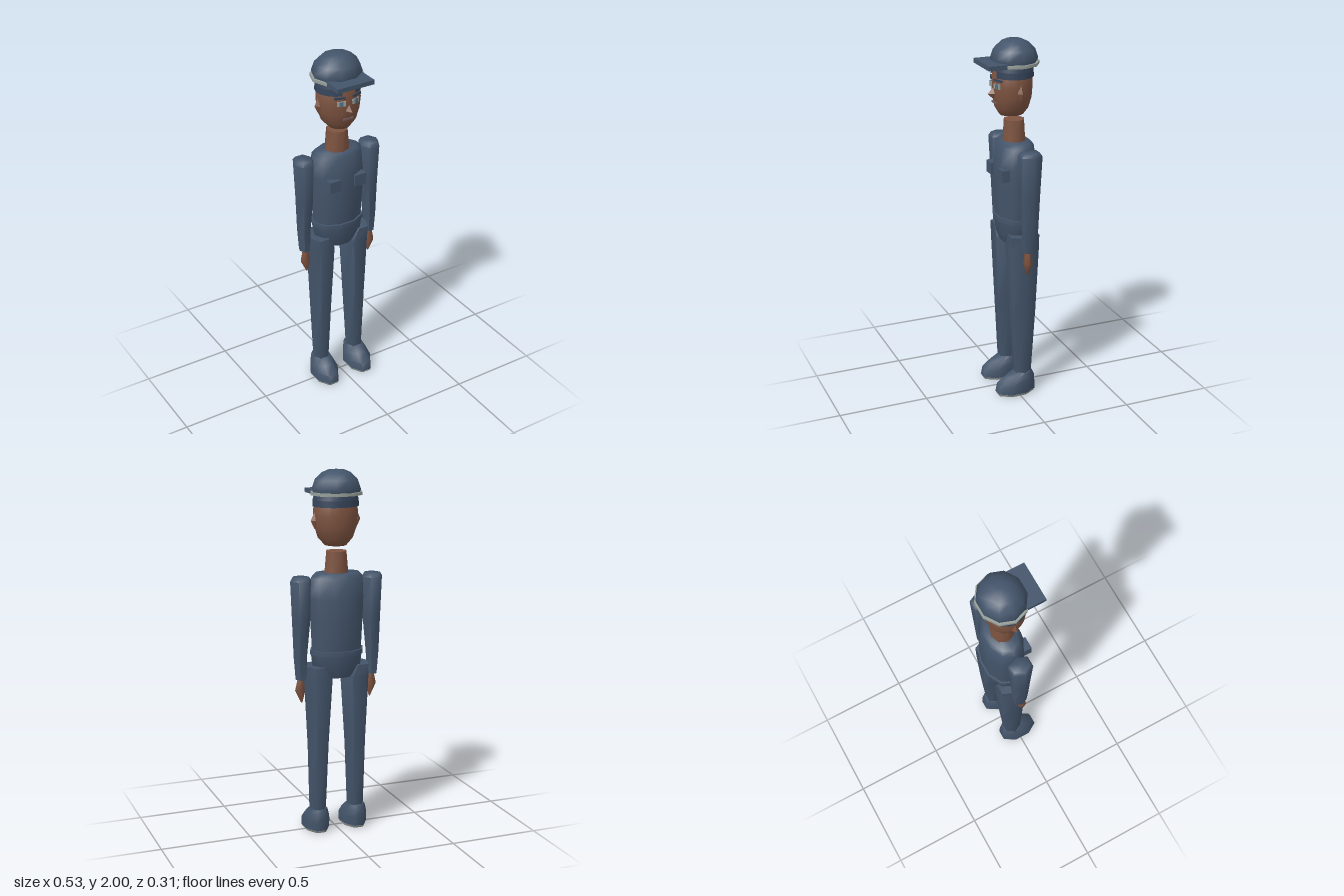
import * as THREE from 'three';
import { toCreasedNormals } from 'three/addons/utils/BufferGeometryUtils.js';

// Capped solid from elliptical rings [y, rx, rz, cx, cz], listed bottom to top
function loft(rings, sides, turn = 0) {
  const pos = [], idx = [];
  for (const [y, rx, rz, cx = 0, cz = -0.035] of rings) {
    for (let i = 0; i < sides; i++) {
      const a = turn + (i / sides) * Math.PI * 2;
      pos.push(cx + rx * Math.cos(a), y, cz + rz * Math.sin(a));
    }
  }
  const last = (rings.length - 1) * sides;
  const c = pos.length / 3;
  for (const [y, , , cx = 0, cz = -0.035] of [rings[0], rings.at(-1)]) pos.push(cx, y, cz);
  for (let i = 0; i < sides; i++) {
    const j = (i + 1) % sides;
    for (let r = 0; r < last; r += sides) {
      idx.push(r + i, r + sides + i, r + j, r + j, r + sides + i, r + sides + j);
    }
    idx.push(c, i, j, c + 1, last + j, last + i);
  }
  const g = new THREE.BufferGeometry();
  g.setAttribute('position', new THREE.Float32BufferAttribute(pos, 3));
  g.setIndex(idx);
  return toCreasedNormals(g, 1.1);
}

export function createModel() {
  const group = new THREE.Group();
  const material = (name, color) => {
    const m = new THREE.MeshStandardMaterial({ color });
    m.name = name;
    return m;
  };
  const navy = material('navy cloth', 0x43546a);
  const dark = material('dark hair', 0x35445a);
  const skin = material('skin', 0x7d5340);
  const grey = material('pale grey trim', 0x969e98);
  const iris = material('iris blue', 0x4f7288);
  const lip = material('lip', 0x75595a);
  dark.side = THREE.DoubleSide;

  const add = (name, geo, mat, x = 0, y = 0, z = 0) => {
    const m = new THREE.Mesh(geo, mat);
    m.name = name;
    m.position.set(x, y, z);
    group.add(m);
    return m;
  };
  const box = (w, h, d) => new THREE.BoxGeometry(w, h, d);

  // Torso, belt and pelvis
  add('torso', loft([
    [1.03, 0.143, 0.104], [1.2, 0.152, 0.114], [1.32, 0.156, 0.112],
    [1.43, 0.15, 0.095], [1.455, 0.125, 0.075],
  ], 10), navy);
  add('belt', loft([[1.012, 0.154, 0.115], [1.036, 0.154, 0.115]], 10), navy);
  add('pelvis', loft([
    [0.885, 0.1, 0.08], [0.94, 0.14, 0.1], [1.02, 0.15, 0.108],
  ], 10), navy);

  // Neck and head
  add('neck', loft([[1.44, 0.07, 0.065, 0, -0.03], [1.57, 0.058, 0.058, 0, -0.03]], 8), skin);
  add('head', loft([
    [1.6, 0.058, 0.065, 0, -0.015], [1.64, 0.095, 0.09, 0, -0.016],
    [1.7, 0.115, 0.104, 0, -0.018], [1.76, 0.122, 0.108, 0, -0.018],
    [1.81, 0.119, 0.105, 0, -0.018], [1.86, 0.1, 0.09, 0, -0.02],
  ], 20), skin);
  add('nose', new THREE.OctahedronGeometry(1).scale(0.02, 0.032, 0.032), skin, 0, 1.72, 0.088);
  add('mouth', box(0.06, 0.01, 0.008), lip, 0, 1.67, 0.081);

  // Hair, open over the forehead
  add('hairTop', loft([[1.843, 0.124, 0.11, 0, -0.02], [1.88, 0.115, 0.102, 0, -0.02]], 20), dark);
  const gap = 0.32;
  add('hairSides', new THREE.CylinderGeometry(0.124, 0.126, 0.035, 28, 1, true, gap, Math.PI * 2 - gap * 2)
    .scale(1, 1, 0.885), dark, 0, 1.8265, -0.02);

  // Cap with trim band and visor
  add('capCrown', loft([
    [1.875, 0.128, 0.117, 0, -0.03], [1.9, 0.137, 0.126, 0, -0.03],
    [1.95, 0.119, 0.11, 0, -0.03], [1.985, 0.08, 0.074, 0, -0.03], [2, 0.045, 0.042, 0, -0.03],
  ], 10), navy);
  add('capBand', loft([[1.87, 0.145, 0.133, 0, -0.03], [1.886, 0.145, 0.133, 0, -0.03]], 10), grey);
  add('capVisor', box(0.22, 0.024, 0.135), navy, 0, 1.879, 0.0875);

  for (const s of [-1, 1]) {
    const side = s > 0 ? 'left' : 'right';

    // Face details
    add(side + 'Ear', new THREE.OctahedronGeometry(1).scale(0.022, 0.046, 0.02), skin, s * 0.12, 1.735, -0.02);
    const eye = add(side + 'EyeWhite', box(0.046, 0.026, 0.009), grey, s * 0.043, 1.765, 0.083);
    const pupil = add(side + 'Iris', box(0.02, 0.026, 0.009), iris, s * 0.044, 1.765, 0.085);
    const brow = add(side + 'Brow', box(0.06, 0.011, 0.009), dark, s * 0.05, 1.797, 0.08);
    for (const m of [eye, pupil, brow]) m.rotation.y = s * 0.34;

    // Chest pocket
    add(side + 'Pocket', box(0.07, 0.066, 0.045), navy, s * 0.078, 1.288, 0.062);

    // Sleeve and hand
    add(side + 'Arm', loft([
      [0.88, 0.031, 0.04, s * 0.207], [1.0, 0.038, 0.045, s * 0.21],
      [1.2, 0.052, 0.056, s * 0.204], [1.42, 0.059, 0.067, s * 0.206],
      [1.44, 0.047, 0.052, s * 0.206],
    ], 6), navy);
    add(side + 'Hand', loft([
      [0.745, 0.004, 0.004, s * 0.2, -0.025], [0.815, 0.03, 0.026, s * 0.208, -0.025],
      [0.89, 0.016, 0.016, s * 0.205, -0.025],
    ], 6), skin);

    // Trouser leg
    add(side + 'Leg', loft([
      [0.12, 0.049, 0.052, s * 0.112, -0.032], [0.5, 0.062, 0.076, s * 0.109],
      [0.88, 0.084, 0.094, s * 0.106], [0.95, 0.06, 0.092, s * 0.125],
    ], 6), navy);

    // Shoe and sole
    add(side + 'Shoe', loft([
      [0.012, 0.072, 0.117, s * 0.112, 0.009], [0.06, 0.073, 0.111, s * 0.112, 0.004],
      [0.1, 0.062, 0.085, s * 0.112, -0.02], [0.13, 0.051, 0.054, s * 0.112, -0.036],
    ], 8, Math.PI / 8), navy);
    add(side + 'Sole', loft([
      [0, 0.067, 0.111, s * 0.112, 0.009], [0.013, 0.073, 0.118, s * 0.112, 0.009],
    ], 8, Math.PI / 8), grey);
  }
  return group;
}
